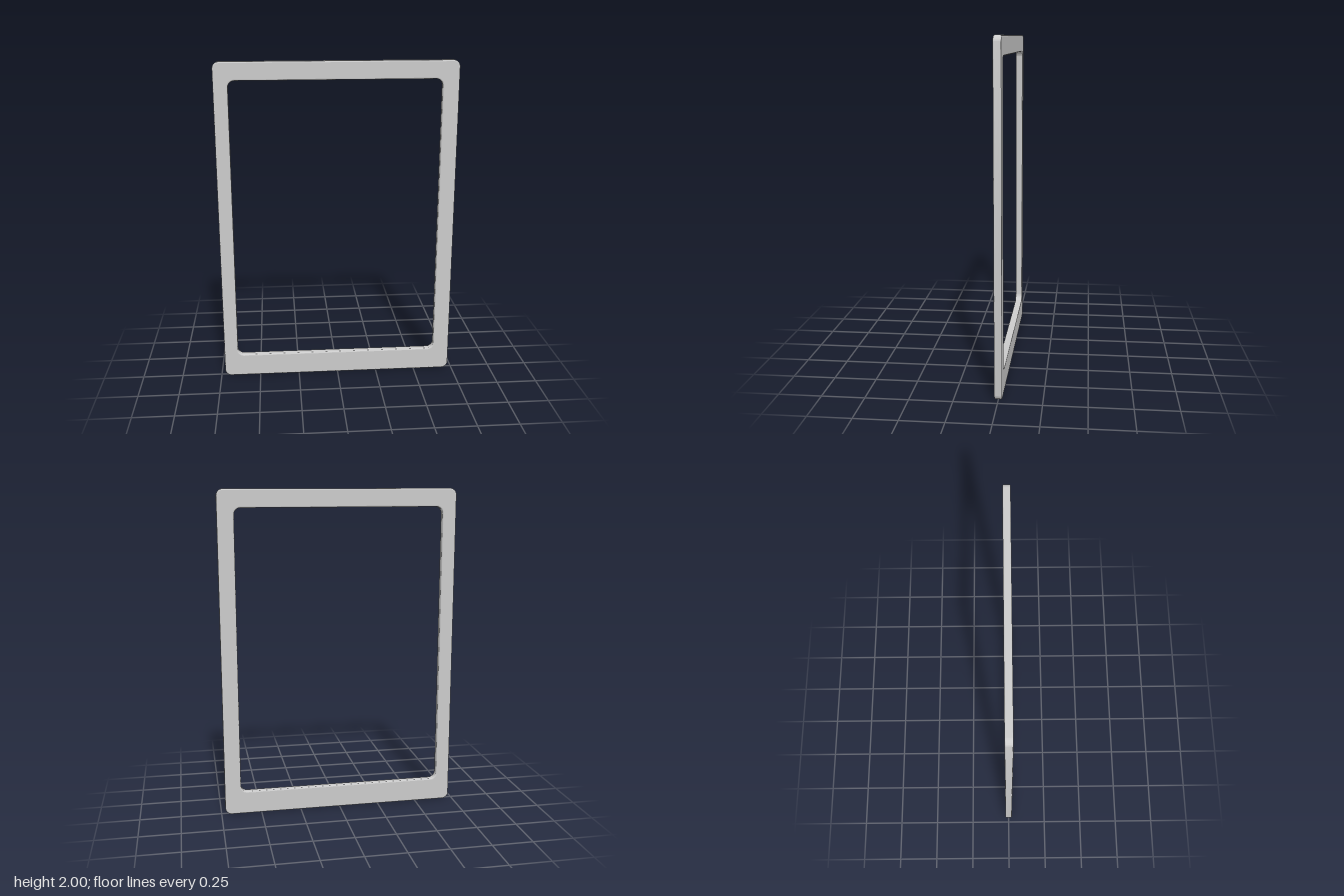
import * as THREE from 'three';
import { toCreasedNormals } from 'three/addons/utils/BufferGeometryUtils.js';

// Traces a rounded rectangle onto a Shape or Path
function roundedRect(path, x0, y0, x1, y1, r) {
  path.absarc(x1 - r, y0 + r, r, -Math.PI / 2, 0);
  path.absarc(x1 - r, y1 - r, r, 0, Math.PI / 2);
  path.absarc(x0 + r, y1 - r, r, Math.PI / 2, Math.PI);
  path.absarc(x0 + r, y0 + r, r, Math.PI, Math.PI * 1.5);
  path.closePath();
  return path;
}

export function createModel() {
  const group = new THREE.Group();
  group.name = 'rectangularFrame';

  // Frame outline with an opening: deeper bottom rail, slightly wider right stile
  const outline = roundedRect(new THREE.Shape(), -0.726, 0, 0.726, 2, 0.04);
  outline.holes.push(roundedRect(new THREE.Path(), -0.64, 0.143, 0.626, 1.89, 0.04));

  // Thin slab with softened edges
  const thickness = 0.044;
  const bevel = 0.008;
  const slab = new THREE.ExtrudeGeometry(outline, {
    depth: thickness - 2 * bevel,
    bevelThickness: bevel,
    bevelSize: bevel,
    bevelOffset: -bevel,
    bevelSegments: 3,
    curveSegments: 8,
  });
  slab.translate(0, 0, bevel - thickness / 2);

  const frame = new THREE.Mesh(
    toCreasedNormals(slab, 0.25),
    new THREE.MeshStandardMaterial({ color: 0xcccccc })
  );
  frame.name = 'frame';
  group.add(frame);
  return group;
}
